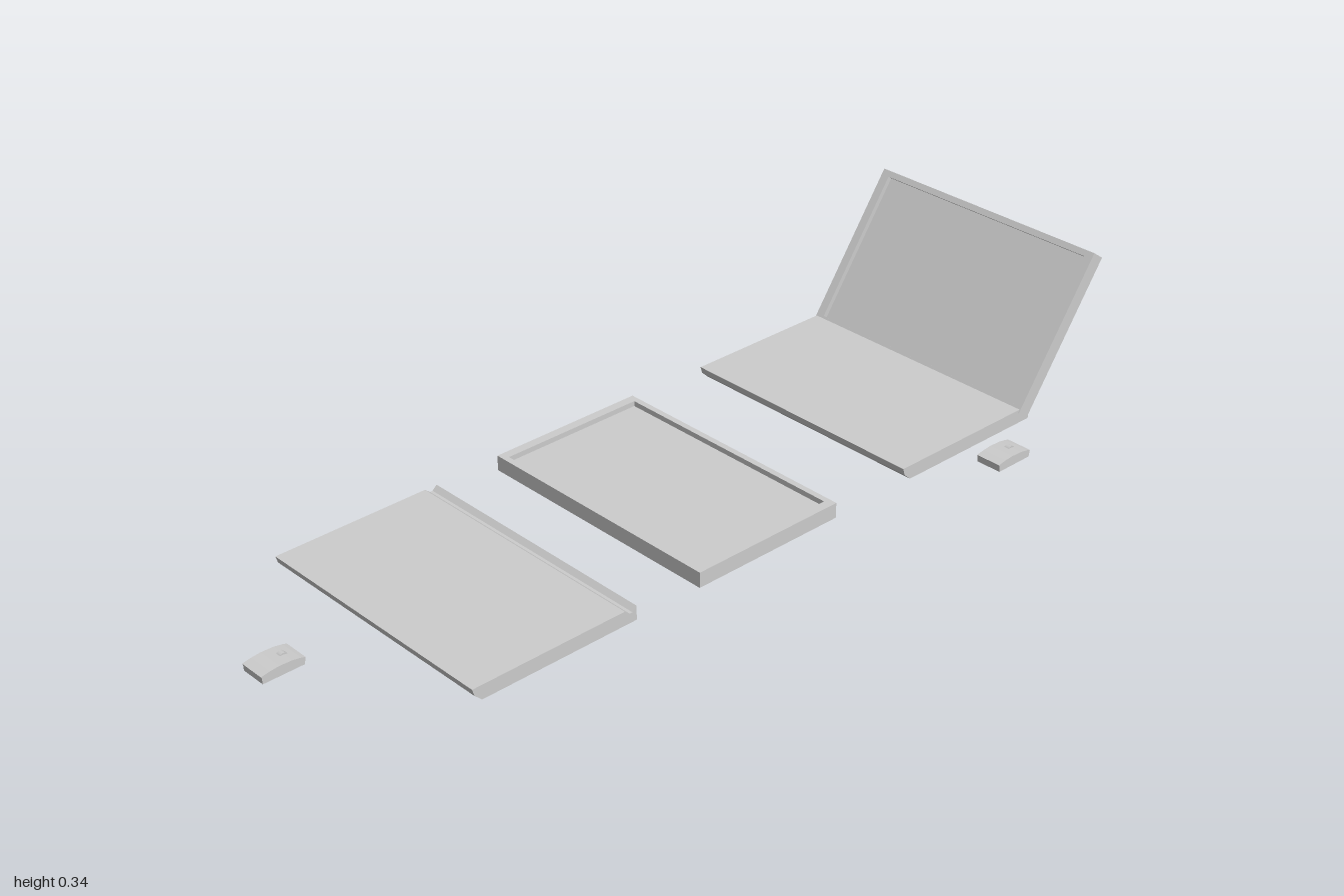
import * as THREE from 'three';

const shellGrey = new THREE.MeshStandardMaterial({ color: 0xcccccc });
shellGrey.name = 'shellGrey';

const LID = { width: 0.615, length: 0.38, back: 0.023, rim: 0.012, sideBorder: 0.021, endBorder: 0.014 };

function part(name, geometry) {
  const mesh = new THREE.Mesh(geometry, shellGrey);
  mesh.name = name;
  return mesh;
}

// Extrude a side profile of [z, y] points across x, centred on x = 0
function sideProfile(points, width) {
  const shape = new THREE.Shape(points.map(([z, y]) => new THREE.Vector2(z, y)));
  return new THREE.ExtrudeGeometry(shape, { depth: width, bevelEnabled: false })
    .rotateY(-Math.PI / 2)
    .translate(width / 2, 0, 0);
}

function rectangle(Type, x0, y0, x1, y1) {
  return new Type([
    new THREE.Vector2(x0, y0), new THREE.Vector2(x1, y0),
    new THREE.Vector2(x1, y1), new THREE.Vector2(x0, y1),
  ]);
}

// Keyboard half: undercut front edge and a hinge groove along the back
function createBase(name) {
  return part(name, sideProfile([
    [0.2, 0.034], [0.195, 0.018], [0.178, 0.002], [-0.2, 0.002],
    [-0.2, 0.034], [-0.189, 0.024], [-0.182, 0.024], [-0.17, 0.034],
  ], 0.611));
}

// Screen half: hinge end at y = 0, recessed screen facing +z
function createLid(name) {
  const lid = new THREE.Group();
  lid.name = name;
  const { width, length, back, rim, sideBorder, endBorder } = LID;
  const panel = part('screenPanel', new THREE.BoxGeometry(width, length, back));
  panel.position.set(0, length / 2, back / 2);

  const frame = rectangle(THREE.Shape, -width / 2, 0, width / 2, length);
  frame.holes.push(rectangle(THREE.Path,
    -width / 2 + sideBorder, endBorder, width / 2 - sideBorder, length - endBorder));
  const bezel = part('screenBezel', new THREE.ExtrudeGeometry(frame, { depth: rim, bevelEnabled: false }));
  bezel.position.z = back;
  lid.add(panel, bezel);
  return lid;
}

// Arched mouse with a small scroll wheel
function createMouse(name) {
  const mouse = new THREE.Group();
  mouse.name = name;
  const body = part('mouseBody', sideProfile([
    [0.047, 0], [0.048, 0.014], [0.05, 0.017], [0.03, 0.0205], [0.008, 0.0225],
    [-0.02, 0.0215], [-0.04, 0.018], [-0.05, 0.015], [-0.047, 0],
  ], 0.06));
  const wheel = part('scrollWheel', new THREE.CylinderGeometry(0.011, 0.011, 0.012, 12));
  wheel.rotation.z = Math.PI / 2;
  wheel.position.set(-0.002, 0.0145, -0.019);
  mouse.add(body, wheel);
  return mouse;
}

export function createModel() {
  const model = new THREE.Group();
  model.name = 'laptopParts';
  const centreX = -0.0525;

  // Separate parts laid out in front
  const looseBase = createBase('looseBase');
  looseBase.position.set(centreX, 0, 0.557);
  const looseLid = createLid('looseLid');
  looseLid.rotation.x = -Math.PI / 2;
  looseLid.position.set(centreX, 0.002, 0.194);
  const looseMouse = createMouse('looseMouse');
  looseMouse.position.set(-0.09, 0, 0.95);

  // Assembled open laptop with its mouse
  const laptop = new THREE.Group();
  laptop.name = 'openLaptop';
  const base = createBase('base');
  base.position.set(centreX, 0, -0.588);
  const lid = createLid('lid');
  lid.rotation.x = THREE.MathUtils.degToRad(-35);
  lid.position.set(centreX, 0.007, -0.782);
  laptop.add(base, lid);
  const mouse = createMouse('mouse');
  mouse.position.set(0.33, 0, -0.617);

  model.add(looseBase, looseLid, looseMouse, laptop, mouse);
  return model;
}
